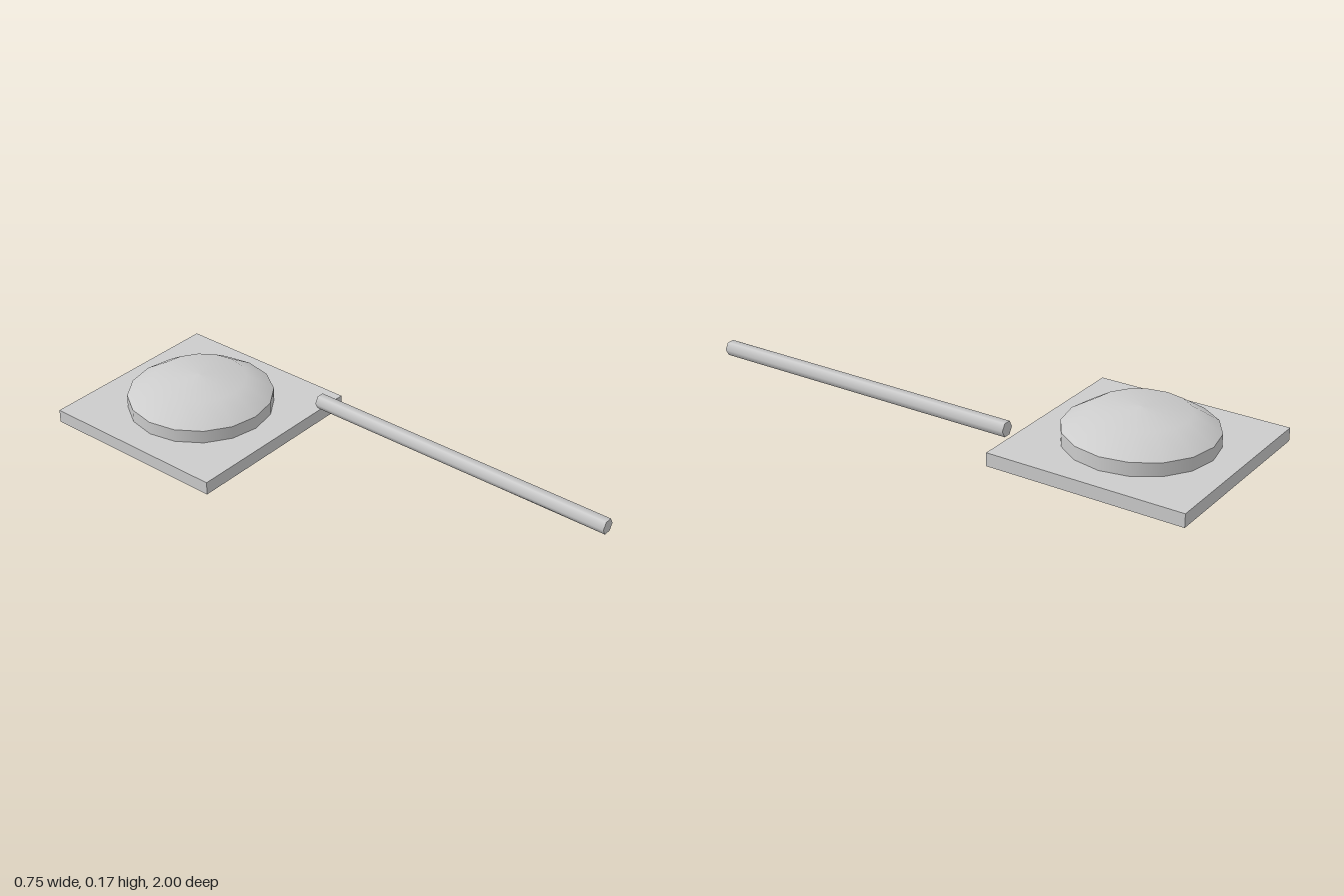
import * as THREE from 'three';

export function createModel() {
  const model = new THREE.Group();
  const grey = new THREE.MeshStandardMaterial({ color: 0xcccccc });
  grey.name = 'plain grey';

  const add = (name, geometry, x, y, z) => {
    const mesh = new THREE.Mesh(geometry, grey);
    mesh.name = name;
    mesh.position.set(x, y, z);
    model.add(mesh);
    return mesh;
  };

  const centreZ = -0.625;
  const sides = 16;

  // Square base slab
  add('baseSlab', new THREE.BoxGeometry(0.75, 0.05, 0.75), 0, 0.025, centreZ);

  // Low round drum standing on the slab
  add('drum', new THREE.CylinderGeometry(0.275, 0.275, 0.05, sides), 0, 0.075, centreZ);

  // Shallow faceted-outline dome with smooth shading
  const profile = [[0.275, 0], [0.175, 0.063], [0, 0.075]].map(([r, y]) => new THREE.Vector2(r, y));
  add('dome', new THREE.LatheGeometry(profile, sides), 0, 0.1, centreZ);

  // Long six-sided rod running forward, corners pointing sideways
  const rodGeometry = new THREE.CylinderGeometry(0.029, 0.029, 1.25, 6, 1, false, Math.PI / 2);
  rodGeometry.rotateX(Math.PI / 2);
  add('rod', rodGeometry, 0.25, 0.088, 0.375);

  return model;
}
